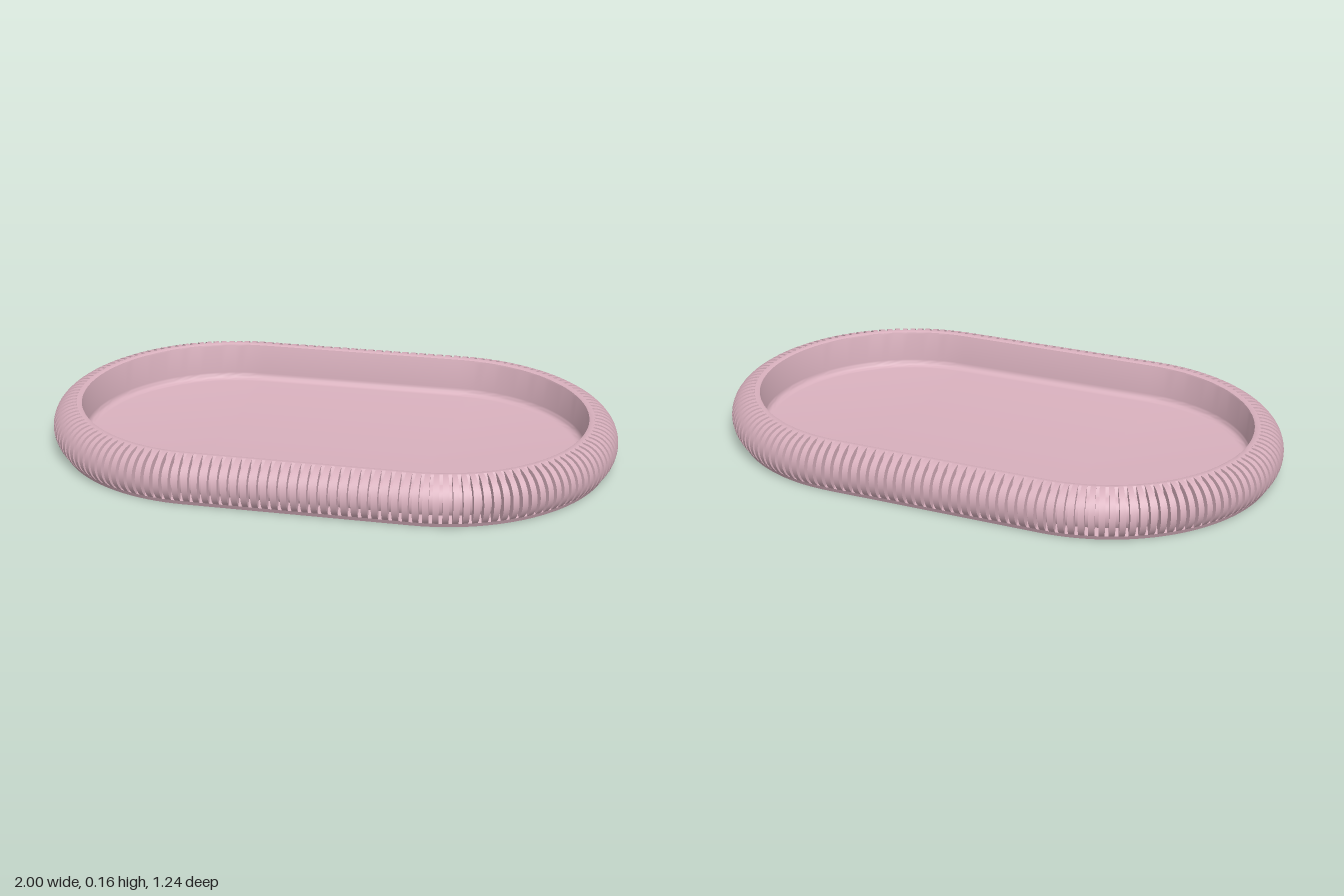
import * as THREE from 'three';
import { toCreasedNormals } from 'three/addons/utils/BufferGeometryUtils.js';

const HALF = 0.38;   // half length of the straight sides
const R = 0.62;      // outer radius of the round ends
const RIBS = 164;
const ARC = Math.PI * R;
const TOTAL = 2 * ARC + 4 * HALF;

// Spine centre and outward direction at distance s round the stadium outline
function station(s) {
  s = ((s % TOTAL) + TOTAL) % TOTAL;
  const out = (cx, a) => ({ cx, nx: Math.cos(a), nz: Math.sin(a) });
  if (s < ARC / 2) return out(HALF, s / R);
  s -= ARC / 2;
  if (s < 2 * HALF) return out(HALF - s, Math.PI / 2);
  s -= 2 * HALF;
  if (s < ARC) return out(-HALF, Math.PI / 2 + s / R);
  s -= ARC;
  if (s < 2 * HALF) return out(-HALF + s, 1.5 * Math.PI);
  s -= 2 * HALF;
  return out(HALF, 1.5 * Math.PI + s / R);
}

// Sweep [radius, height] profiles round the outline; rings = [{ s, profile }]
function sweep(rings, crease) {
  const pos = [], index = [];
  const n = rings[0].profile.length;
  for (const { s, profile } of rings) {
    const { cx, nx, nz } = station(s);
    for (const [r, y] of profile) pos.push(cx + nx * r, y, nz * r);
  }
  for (let j = 0; j < rings.length; j++) {
    const k = (j + 1) % rings.length;
    for (let i = 0; i < n - 1; i++) {
      const a = j * n + i, c = k * n + i;
      index.push(a, a + 1, c, a + 1, c + 1, c);
    }
  }
  const g = new THREE.BufferGeometry();
  g.setAttribute('position', new THREE.Float32BufferAttribute(pos, 3));
  g.setIndex(index);
  return toCreasedNormals(g, crease);
}

// Rounded outer wall from foot to rim, sunk by depth between its two ends
function wallProfile(depth) {
  const pts = [], steps = 14;
  for (let i = 0; i <= steps; i++) {
    const t = i / steps;
    const a = -Math.PI / 4 + t * Math.PI * 0.75;
    const rad = 0.085 - depth * Math.min(1, t * 14, (1 - t) * 7);
    pts.push([0.535 + rad * Math.cos(a), 0.075 + rad * Math.sin(a)]);
  }
  return pts;
}

export function createModel() {
  const group = new THREE.Group();
  group.name = 'ribbedTray';
  const pink = new THREE.MeshStandardMaterial({ color: 0xd8b0bd });
  pink.name = 'dusty pink';
  const add = (name, geometry) => {
    const mesh = new THREE.Mesh(geometry, pink);
    mesh.name = name;
    group.add(mesh);
  };
  const pitch = TOTAL / RIBS;
  const even = (profile) =>
    Array.from({ length: RIBS }, (_, i) => ({ s: (i + 0.5) * pitch, profile }));

  // Flat underside with a small foot band
  add('base', sweep(even([[0, 0], [0.588, 0], [0.595, 0.015]]), 0.5));

  // Outer wall of alternating ribs and grooves
  const rib = wallProfile(0), groove = wallProfile(0.024);
  const rings = [];
  for (let i = 0; i < RIBS; i++) {
    const s0 = (i - 0.31) * pitch, s1 = (i + 0.31) * pitch;
    rings.push({ s: s0, profile: groove }, { s: s0, profile: rib });
    rings.push({ s: s1, profile: rib }, { s: s1, profile: groove });
  }
  add('ribbedWall', sweep(rings, 0.6));

  // Smooth lip, inner wall and filleted floor
  const inner = [[0.535, 0.16], [0.523, 0.16], [0.517, 0.157], [0.515, 0.151]];
  for (let i = 0; i <= 6; i++) {
    const a = (i / 6) * Math.PI / 2;
    inner.push([0.488 + 0.025 * Math.cos(a), 0.045 - 0.025 * Math.sin(a)]);
  }
  inner.push([0, 0.02]);
  add('lipAndFloor', sweep(even(inner), 0.7));

  return group;
}
